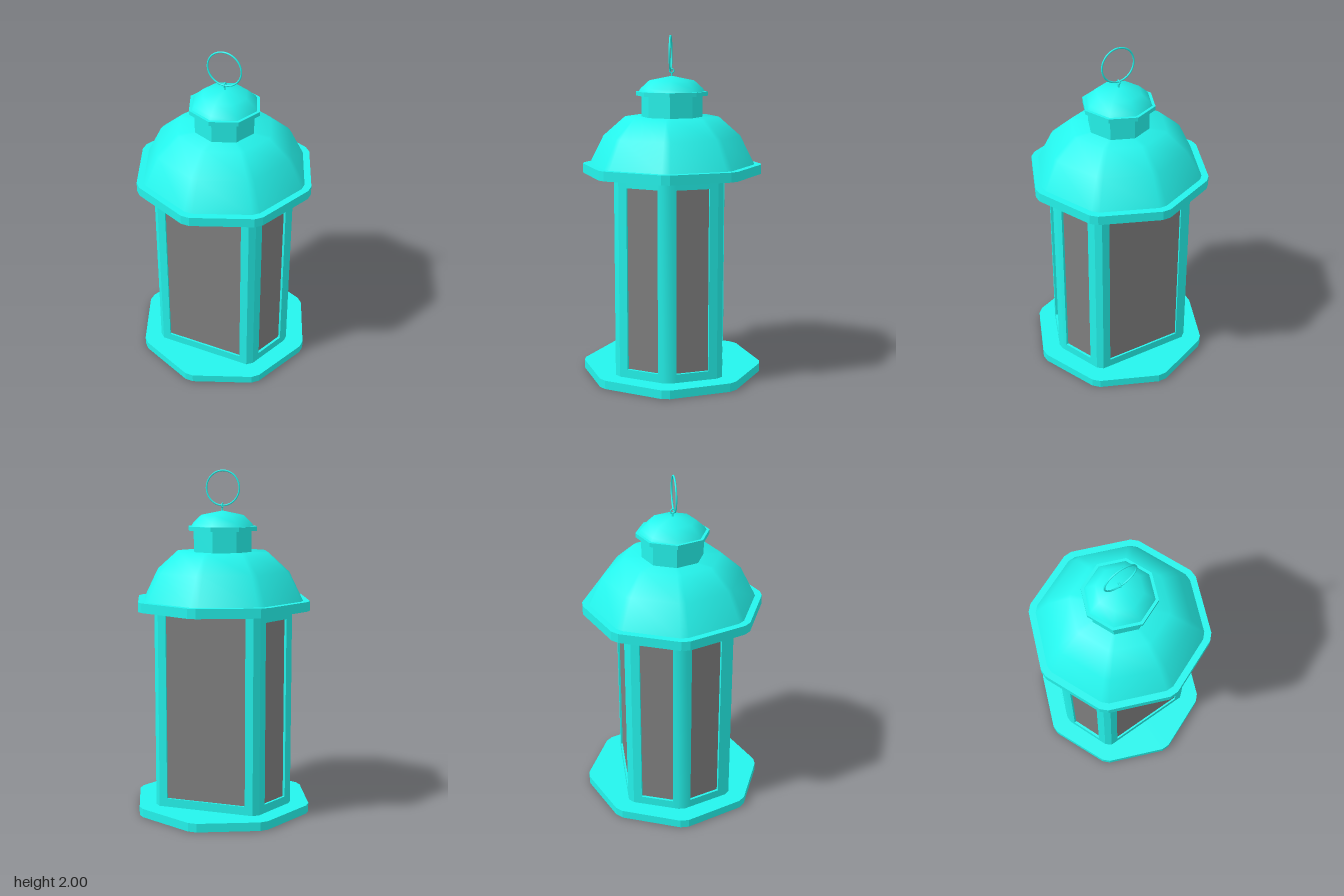
import * as THREE from 'three';
import { toCreasedNormals } from 'three/addons/utils/BufferGeometryUtils.js';

const metal = new THREE.MeshStandardMaterial({ color: 0x24f4ec });
const glass = new THREE.MeshStandardMaterial({ color: 0x808080 });
const RAD = Math.PI / 180;

export function createModel() {
  const model = new THREE.Group();

  const add = (name, geometry, material = metal) => {
    const mesh = new THREE.Mesh(geometry, material);
    mesh.name = name;
    model.add(mesh);
    return mesh;
  };

  // Eight-sided turned part; with a bevel (degrees) every corner is cut in two
  const octagon = (name, profile, crease, bevel = 0) => {
    const points = profile.map(([r, y]) => new THREE.Vector2(r, y));
    const geo = new THREE.LatheGeometry(points, bevel ? 16 : 8);
    if (bevel) {
      const pos = geo.attributes.position;
      for (let i = 0; i < pos.count; i++) {
        const seg = Math.floor(i / points.length);
        const r = points[i % points.length].x;
        const a = (Math.ceil(seg / 2) * 45 + (seg % 2 ? -bevel : bevel)) * RAD;
        pos.setX(i, r * Math.sin(a));
        pos.setZ(i, r * Math.cos(a));
      }
    }
    return add(name, toCreasedNormals(geo, crease * RAD));
  };
  const slab = (r, y0, y1) => [[0, y0], [r, y0], [r, y1], [0, y1]];

  // Upright prism from a floor outline of [x, z] points, mirrored by sx and sz
  const prism = (name, outline, y0, y1, sx, sz, material) => {
    const shape = new THREE.Shape(outline.map(([x, z]) => new THREE.Vector2(x * sx, -z * sz)));
    const geo = new THREE.ExtrudeGeometry(shape, { depth: y1 - y0, bevelEnabled: false });
    geo.rotateX(-Math.PI / 2).translate(0, y0, 0);
    add(name, toCreasedNormals(geo, 25 * RAD), material);
  };

  // Base plate
  octagon('basePlate', slab(0.53, 0, 0.05), 15, 2.7);

  // Six-sided body: corner posts, side posts, rails and recessed panes
  const cornerPost = [[0.238, 0.308], [0.285, 0.308], [0.317, 0.28], [0.335, 0.233],
    [0.316, 0.226], [0.285, 0.286], [0.238, 0.286]];
  const sidePost = [[0.418, 0.02], [0.405, 0.053], [0.386, 0.046],
    [0.386, -0.046], [0.405, -0.053], [0.418, -0.02]];
  const sideRail = [[0.335, 0.233], [0.405, 0.053], [0.386, 0.046], [0.316, 0.226]];
  const sidePane = [[0.321, 0.228], [0.391, 0.048], [0.386, 0.046], [0.316, 0.226]];
  const frontRail = [[-0.238, 0.308], [0.238, 0.308], [0.238, 0.286], [-0.238, 0.286]];
  const frontPane = [[-0.238, 0.297], [0.238, 0.297], [0.238, 0.288], [-0.238, 0.288]];
  for (const sz of [1, -1]) {
    const end = sz > 0 ? 'front' : 'back';
    prism(end + 'BottomRail', frontRail, 0.05, 0.1, 1, sz);
    prism(end + 'Pane', frontPane, 0.1, 1.2, 1, sz, glass);
    for (const sx of [1, -1]) {
      const corner = end + (sx > 0 ? 'Left' : 'Right');
      prism(corner + 'CornerPost', cornerPost, 0.05, 1.2, sx, sz);
      prism(corner + 'BottomRail', sideRail, 0.05, 0.1, sx, sz);
      prism(corner + 'TopRail', sideRail, 1.155, 1.2, sx, sz);
      prism(corner + 'Pane', sidePane, 0.1, 1.155, sx, sz, glass);
    }
  }
  prism('leftSidePost', sidePost, 0.05, 1.2, 1, 1);
  prism('rightSidePost', sidePost, 0.05, 1.2, -1, 1);

  // Roof
  octagon('roofBrim', slab(0.523, 1.2, 1.255), 15, 2.7);
  octagon('roof', [[0.485, 1.25], [0.4, 1.42], [0.275, 1.53], [0, 1.53]], 50, 2.7);

  // Chimney and its cap
  octagon('chimney', slab(0.178, 1.525, 1.655), 20);
  octagon('capBrim', slab(0.21, 1.652, 1.676), 20);
  octagon('cap', [[0.193, 1.675], [0.18, 1.695], [0.13, 1.74], [0, 1.766]], 50);

  // Eye and carrying ring
  const stem = add('eyeStem', new THREE.CylinderGeometry(0.005, 0.005, 0.03, 8));
  stem.position.y = 1.772;
  const eye = add('eye', new THREE.TorusGeometry(0.012, 0.004, 8, 16));
  eye.rotation.y = Math.PI / 2;
  eye.position.y = 1.795;
  const ring = add('carryingRing', new THREE.TorusGeometry(0.1, 0.005, 8, 40));
  ring.position.set(0, 1.895, 0.007);

  return model;
}
